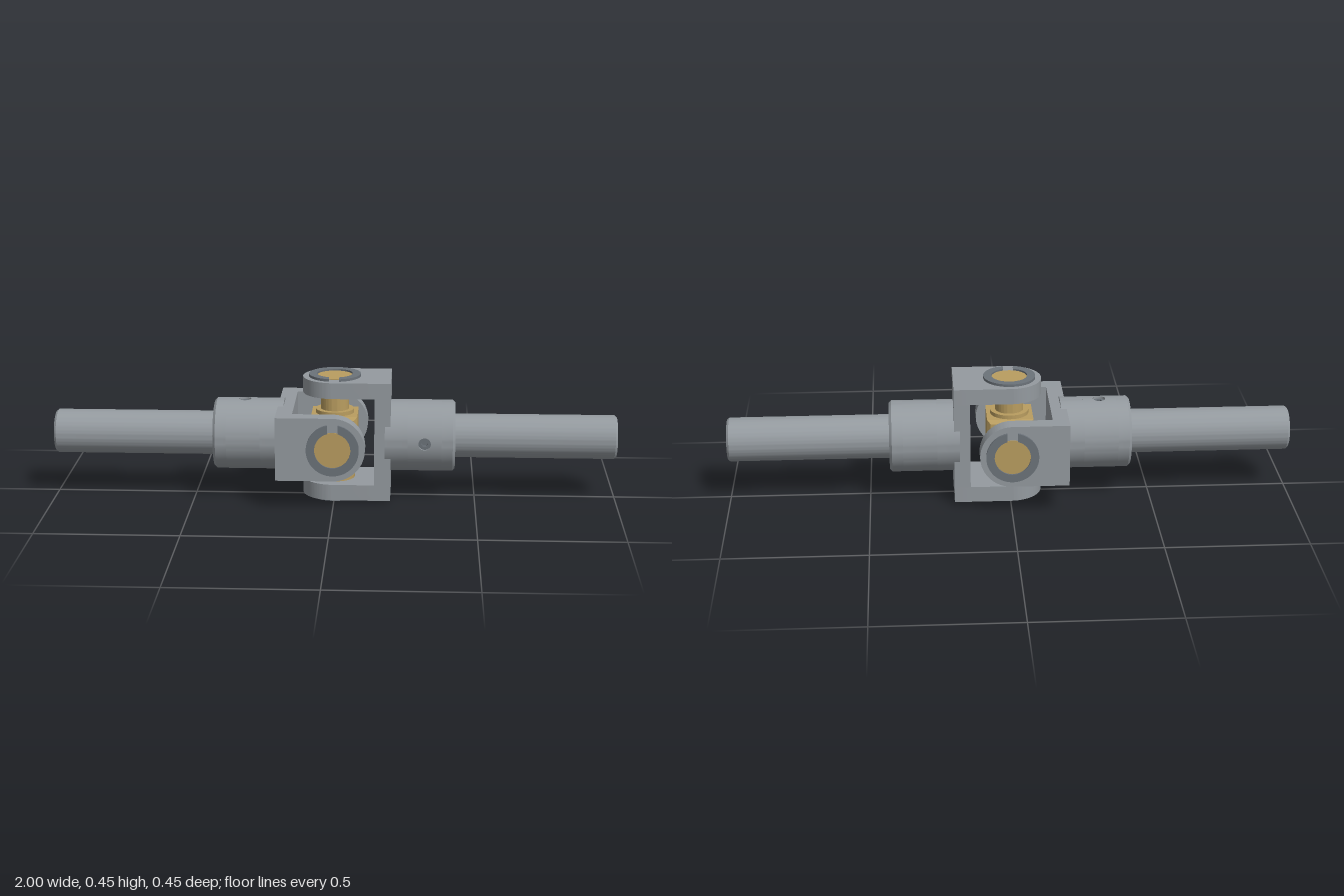
import * as THREE from 'three';
import { toCreasedNormals } from 'three/addons/utils/BufferGeometryUtils.js';

const mat = (name, color, side = THREE.FrontSide) => {
  const m = new THREE.MeshStandardMaterial({ color, side });
  m.name = name;
  return m;
};

export function createModel() {
  const steel = mat('steel', 0x949a9f, THREE.DoubleSide);
  const darkSteel = mat('dark steel', 0x6c737a);
  const brass = mat('brass', 0xb99d60);

  const CY = 0.223;      // height of the shaft axis
  const HALF = 0.113;    // half width of a yoke arm
  const INNER = 0.157, OUTER = 0.214; // arm faces
  const HUB_R = 0.127, SCREW_X = 0.32, SCREW_R = 0.022, PATCH = 0.06;

  const add = (parent, name, geo, material) => {
    const m = new THREE.Mesh(geo, material);
    m.name = name;
    parent.add(m);
    return m;
  };
  // Turned part from [radius, distance] pairs; sharp edges kept
  const turned = (pts, start = 0, length = Math.PI * 2) => toCreasedNormals(
    new THREE.LatheGeometry(pts.map(p => new THREE.Vector2(...p)), 80, start, length), 0.5);
  const alongX = g => g.rotateZ(-Math.PI / 2);
  const alongZ = g => g.rotateX(Math.PI / 2);

  // Curved piece of hub wall around the round set screw hole
  function hubPatch() {
    const g = new THREE.PlaneGeometry(1, 1, 6, 64);
    const p = g.attributes.position, n = g.attributes.normal;
    for (let i = 0; i < p.count; i++) {
      const t = (p.getY(i) + 0.5) * Math.PI * 2, f = p.getX(i) + 0.5;
      const c = Math.cos(t), s = Math.sin(t);
      const edge = PATCH / Math.max(Math.abs(c), Math.abs(s));
      const r = SCREW_R + (edge - SCREW_R) * f;
      const a = (r * s) / HUB_R;
      p.setXYZ(i, SCREW_X + r * c, HUB_R * Math.sin(a), HUB_R * Math.cos(a));
      n.setXYZ(i, 0, Math.sin(a), Math.cos(a));
    }
    return g;
  }

  // Fork arm outline: square at the plate, round at the pin
  function armGeometry() {
    const s = new THREE.Shape();
    s.moveTo(0.2, -HALF);
    s.lineTo(0.2, HALF);
    s.lineTo(0, HALF);
    s.absarc(0, 0, HALF, Math.PI / 2, Math.PI * 1.5, false);
    s.lineTo(0.2, -HALF);
    const hole = new THREE.Path();
    hole.absarc(0, 0, 0.063, 0, Math.PI * 2, true);
    s.holes.push(hole);
    const g = new THREE.ExtrudeGeometry(s, { depth: OUTER - INNER, bevelEnabled: false, curveSegments: 40 });
    return toCreasedNormals(g.rotateX(-Math.PI / 2).translate(0, INNER, 0), 0.5);
  }

  // One yoke with its hub, set screw and shaft, pointing along +x
  function makeYoke(name) {
    const yoke = new THREE.Group();
    yoke.name = name;
    add(yoke, 'yokePlate', new THREE.BoxGeometry(0.057, INNER * 2, HALF * 2), steel).position.x = 0.1715;
    add(yoke, 'upperArm', armGeometry(), steel);
    add(yoke, 'lowerArm', armGeometry().rotateX(Math.PI), steel);

    const a = PATCH / HUB_R, x0 = SCREW_X - PATCH, x1 = SCREW_X + PATCH;
    add(yoke, 'hubInnerEnd', alongX(turned([[0.08, 0.18], [HUB_R, 0.18], [HUB_R, x0]])), steel);
    add(yoke, 'hubWall', alongX(turned([[HUB_R, x0], [HUB_R, x1]], a, Math.PI * 2 - 2 * a)), steel);
    add(yoke, 'hubScrewWall', hubPatch(), steel);
    add(yoke, 'hubOuterEnd', alongX(turned([[HUB_R, x1], [HUB_R, 0.419], [0.118, 0.428],
      [0.09, 0.428], [0.079, 0.417]])), steel);

    // Recessed set screw with a hexagonal socket
    const bore = alongZ(new THREE.CylinderGeometry(SCREW_R, SCREW_R, 0.03, 32, 1, true));
    add(yoke, 'screwHole', bore.translate(SCREW_X, 0, 0.111), steel);
    const head = new THREE.Shape().absarc(0, 0, SCREW_R, 0, Math.PI * 2, false);
    const socket = new THREE.Path();
    for (let i = 0; i <= 6; i++) {
      const t = -i * Math.PI / 3;
      socket[i ? 'lineTo' : 'moveTo'](0.012 * Math.cos(t), 0.012 * Math.sin(t));
    }
    head.holes.push(socket);
    const screw = new THREE.ExtrudeGeometry(head, { depth: 0.014, bevelEnabled: false, curveSegments: 24 });
    add(yoke, 'setScrew', screw.translate(SCREW_X, 0, 0.104), darkSteel);
    add(yoke, 'screwSocketFloor', new THREE.CircleGeometry(0.015, 24).translate(SCREW_X, 0, 0.105), darkSteel);

    add(yoke, 'shaft', alongX(turned([[0, 0.2], [0.078, 0.2], [0.078, 0.992], [0.071, 1], [0, 1]])), steel);
    return yoke;
  }

  // One arm of the cross along +z: boss, journal, thrust washer and bearing pin
  function makeTrunnion(name) {
    const t = new THREE.Group();
    t.name = name;
    add(t, 'trunnionPin', alongZ(turned([[0.068, 0.07], [0.068, 0.096], [0.05, 0.096], [0.05, 0.145],
      [0.071, 0.145], [0.071, INNER], [0.063, INNER], [0.063, 0.217], [0, 0.217]])), brass);

    // Split retaining ring with its gap at the top
    const R = 0.092, r = 0.063, w = 0.018;
    const ao = Math.asin(w / R), ai = Math.asin(w / r), q = Math.PI / 2;
    const s = new THREE.Shape();
    s.absarc(0, 0, R, q + ao, q - ao + Math.PI * 2, false);
    s.absarc(0, 0, r, q - ai + Math.PI * 2, q + ai, true);
    s.closePath();
    const ring = new THREE.ExtrudeGeometry(s, { depth: 0.009, bevelEnabled: false, curveSegments: 64 });
    add(t, 'retainingRing', toCreasedNormals(ring.translate(0, 0, OUTER), 0.5), darkSteel);
    return t;
  }

  const model = new THREE.Group();
  model.name = 'universalJoint';
  const joint = new THREE.Group();
  joint.name = 'joint';
  joint.position.y = CY;
  model.add(joint);

  // Two identical yokes, the second turned to cross the first
  joint.add(makeYoke('leftYoke'));
  const other = makeYoke('rightYoke');
  other.quaternion.setFromAxisAngle(new THREE.Vector3(0, 1, 1).normalize(), Math.PI);
  joint.add(other);

  // Central cross block with bevelled edges
  const b = 0.082, c = 0.012, k = b - c;
  const block = new THREE.Shape([[-k, -k], [k, -k], [k, k], [-k, k]].map(p => new THREE.Vector2(...p)));
  const blockGeo = new THREE.ExtrudeGeometry(block, {
    depth: 2 * k, bevelThickness: c, bevelSize: c, bevelSegments: 1 });
  add(joint, 'crossBlock', toCreasedNormals(blockGeo.translate(0, 0, -k), 0.3), brass);

  const q = Math.PI / 2;
  for (const [name, rx, ry, spin] of [
    ['frontTrunnion', 0, 0, 0], ['backTrunnion', 0, Math.PI, 0],
    ['topTrunnion', -q, 0, Math.PI], ['bottomTrunnion', q, 0, Math.PI]]) {
    const t = makeTrunnion(name);
    t.rotation.set(rx, ry, spin);
    joint.add(t);
  }
  return model;
}
